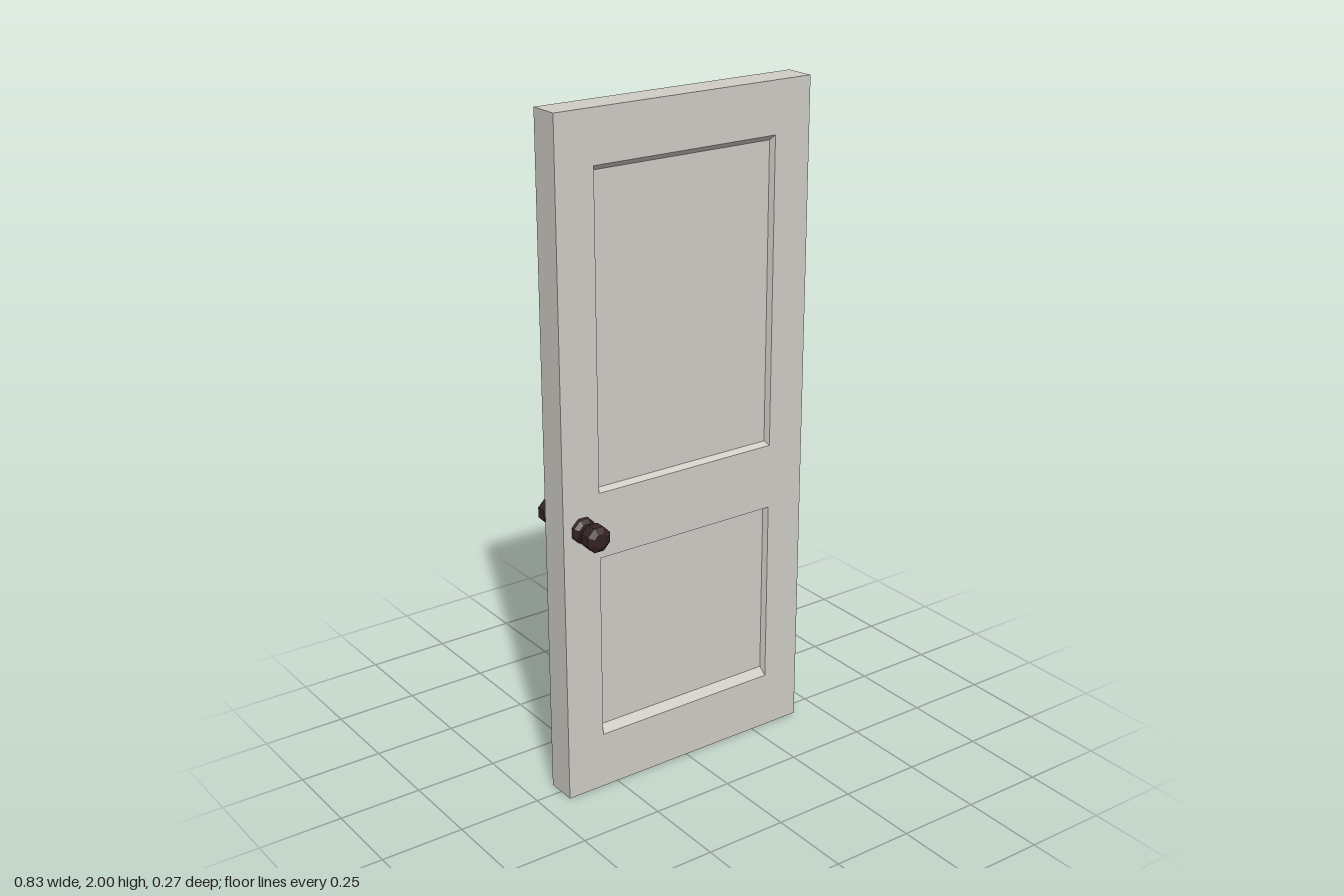
import * as THREE from 'three';

const HALF_W = 0.417, HEIGHT = 2, HALF_T = 0.046, RECESS = 0.018;

// Recessed panels: outer opening and how far each bevel slopes inwards
const PANELS = [
  { name: 'upperPanel', bottom: 0.933, top: 1.849, slopeBottom: 0.010, slopeTop: 0.016 },
  { name: 'lowerPanel', bottom: 0.172, top: 0.736, slopeBottom: 0.025, slopeTop: 0.008 },
];
const PANEL_X = 0.298, SLOPE_X = 0.006;

// Counter-clockwise rectangle corners
const rect = (halfW, bottom, top) => [[-halfW, bottom], [halfW, bottom], [halfW, top], [-halfW, top]];

// Strip of four quads joining rectangle a at depth za to rectangle b at depth zb
function band(a, za, b, zb) {
  const pos = [];
  for (let i = 0; i < 4; i++) {
    const j = (i + 1) % 4;
    const [p, q, r, s] = [[...a[i], za], [...a[j], za], [...b[j], zb], [...b[i], zb]];
    pos.push(...p, ...q, ...r, ...p, ...r, ...s);
  }
  const g = new THREE.BufferGeometry();
  g.setAttribute('position', new THREE.Float32BufferAttribute(pos, 3));
  g.computeVertexNormals();
  return g;
}

const toShape = (r) => new THREE.Shape(r.map(([x, y]) => new THREE.Vector2(x, y)));

function mesh(name, geometry, material) {
  const m = new THREE.Mesh(geometry, material);
  m.name = name;
  return m;
}

export function createModel() {
  const paint = new THREE.MeshStandardMaterial({ color: 0xcfcdc5 });
  paint.name = 'greyPaint';
  const bronze = new THREE.MeshStandardMaterial({ color: 0x352323 });
  bronze.name = 'darkBronze';

  const door = new THREE.Group();
  door.name = 'door';
  const outline = rect(HALF_W, 0, HEIGHT);

  // Narrow edges around the slab
  door.add(mesh('doorEdges', band(outline, -HALF_T, outline, HALF_T), paint));

  // One side of the door: frame, recessed panels
  function doorFace(name) {
    const face = new THREE.Group();
    face.name = name;
    const frame = toShape(outline);
    for (const p of PANELS) {
      const outer = rect(PANEL_X, p.bottom, p.top);
      const inner = rect(PANEL_X - SLOPE_X, p.bottom + p.slopeBottom, p.top - p.slopeTop);
      frame.holes.push(toShape(outer));
      face.add(mesh(p.name + 'Bevel', band(outer, HALF_T, inner, HALF_T - RECESS), paint));
      const floor = new THREE.ShapeGeometry(toShape(inner)).translate(0, 0, HALF_T - RECESS);
      face.add(mesh(p.name, floor, paint));
    }
    face.add(mesh('frame', new THREE.ShapeGeometry(frame).translate(0, 0, HALF_T), paint));
    return face;
  }
  const front = doorFace('frontFace');
  const back = doorFace('backFace');
  back.rotation.y = Math.PI;
  door.add(front, back);

  // Faceted knob: rose, stem and grip turned as one profile
  const profile = [
    [0.039, 0.045], [0.036, 0.056], [0.025, 0.066], [0.0175, 0.067], [0.0175, 0.086],
    [0.022, 0.087], [0.039, 0.095], [0.039, 0.126], [0.022, 0.1365], [0, 0.1365],
  ].map(([r, h]) => new THREE.Vector2(r, h));
  const knob = new THREE.LatheGeometry(profile, 8, Math.PI / 8).toNonIndexed();
  knob.computeVertexNormals();
  for (const [name, side] of [['frontKnob', 1], ['backKnob', -1]]) {
    const k = mesh(name, knob, bronze);
    k.position.set(-0.354, 0.838, 0);
    k.rotation.x = side * Math.PI / 2;
    door.add(k);
  }
  return door;
}
